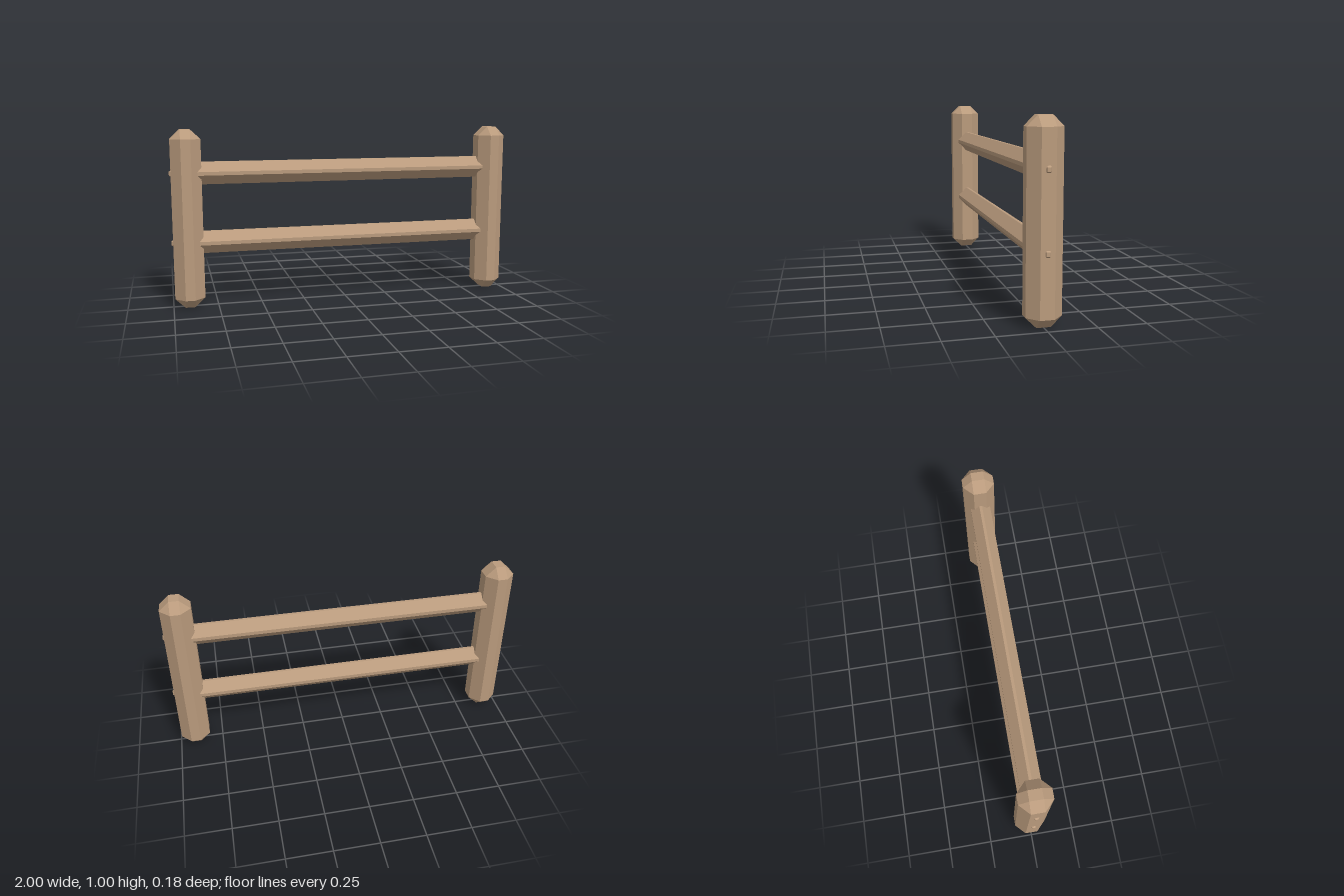
import * as THREE from 'three';
import { ConvexGeometry } from 'three/addons/geometries/ConvexGeometry.js';

// Upright eight-sided bar centred on the origin, both ends bevelled to a small rectangle.
// hx, hz: half widths; fx, fz: half widths of the flat faces; bevel: length of the tapered end.
function bevelledBar(length, hx, hz, fx, fz, bevel) {
  const points = [];
  const h = length / 2;
  for (const sy of [-1, 1]) {
    for (const sx of [-1, 1]) {
      for (const sz of [-1, 1]) {
        points.push(
          new THREE.Vector3(sx * fx, sy * h, sz * fz),
          new THREE.Vector3(sx * hx, sy * (h - bevel), sz * fz),
          new THREE.Vector3(sx * fx, sy * (h - bevel), sz * hz)
        );
      }
    }
  }
  return new ConvexGeometry(points);
}

export function createModel() {
  const model = new THREE.Group();
  model.name = 'fence';
  const wood = new THREE.MeshStandardMaterial({ color: 0xba9b7d, flatShading: true });

  // Posts
  const postGeometry = bevelledBar(1, 0.083, 0.09, 0.027, 0.036, 0.053);
  for (const side of [-1, 1]) {
    const post = new THREE.Mesh(postGeometry, wood);
    post.name = side > 0 ? 'leftPost' : 'rightPost';
    post.position.set(side * 0.908, 0.5, 0);
    model.add(post);
  }

  // Diamond-shaped rails whose tapered tips poke through the posts
  const railGeometry = bevelledBar(2, 0.063, 0.058, 0.01, 0.008, 0.075);
  railGeometry.rotateZ(Math.PI / 2);
  for (const [name, y] of [['lowerRail', 0.367], ['upperRail', 0.757]]) {
    const rail = new THREE.Mesh(railGeometry, wood);
    rail.name = name;
    rail.position.y = y;
    model.add(rail);
  }

  return model;
}
